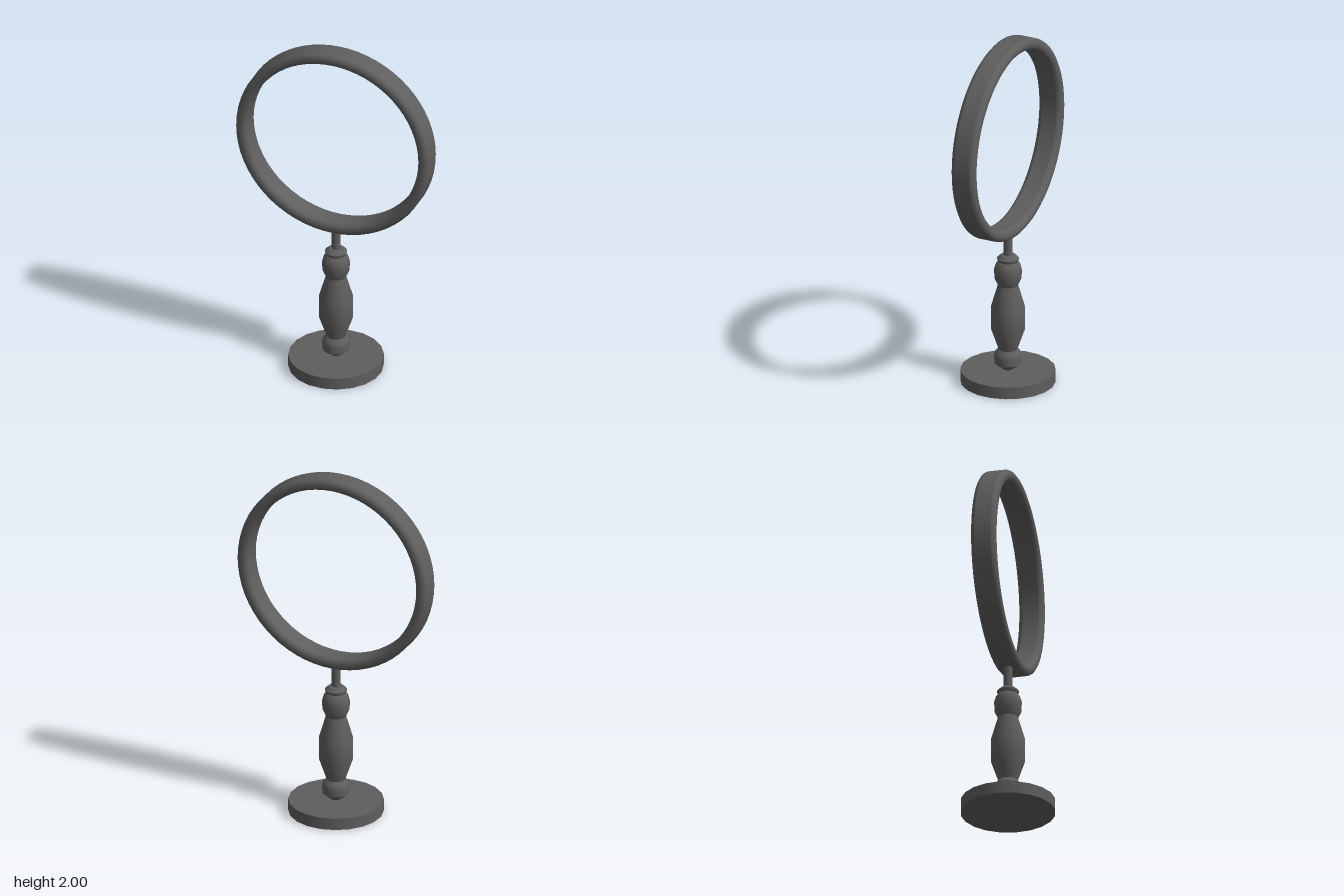
import * as THREE from 'three';
import { mergeGeometries } from 'three/addons/utils/BufferGeometryUtils.js';

// Revolve several profile strips, keeping a sharp edge where strips meet.
function revolve(strips, segments, phase = 0) {
  return mergeGeometries(strips.map(strip =>
    new THREE.LatheGeometry(strip.map(([r, y]) => new THREE.Vector2(r, y)), segments, phase)));
}

export function createModel() {
  const model = new THREE.Group();
  const darkMetal = new THREE.MeshStandardMaterial({ color: 0x5e5e5e });
  darkMetal.name = 'darkMetal';

  const add = (name, geometry) => {
    const mesh = new THREE.Mesh(geometry, darkMetal);
    mesh.name = name;
    model.add(mesh);
    return mesh;
  };

  // Round foot with twenty sides
  add('base', revolve([
    [[0, 0.002], [0.26, 0.002]],
    [[0.26, 0.002], [0.26, 0.07]],
    [[0.26, 0.07], [0, 0.07]],
  ], 20, 0.04));

  // Thin rod running from the foot up to the ring
  const rod = add('rod', new THREE.CylinderGeometry(0.024, 0.024, 0.89, 16));
  rod.position.y = 0.445;

  // Turned handle: lower bead, long belly, upper bead and collar
  add('handle', revolve([
    [[0.015, 0.065], [0.074, 0.11]],
    [[0.074, 0.11], [0.076, 0.15], [0.07, 0.172], [0.052, 0.192]],
    [[0.052, 0.192], [0.093, 0.31], [0.093, 0.44], [0.055, 0.57]],
    [[0.055, 0.57], [0.074, 0.61], [0.076, 0.66], [0.068, 0.69], [0.052, 0.71]],
    [[0.052, 0.71], [0.058, 0.714], [0.06, 0.728]],
    [[0.06, 0.728], [0.04, 0.747]],
    [[0.04, 0.747], [0, 0.749]],
  ], 20, 0.04));

  // Large hoop with flat inner and outer bands and rounded rims
  const inner = 0.5, outer = 0.565, half = 0.045;
  const rim = (start) => Array.from({ length: 7 }, (_, i) => {
    const a = start + Math.PI * i / 6;
    return [(inner + outer) / 2 + (outer - inner) / 2 * Math.cos(a),
      Math.sign(Math.PI / 2 - start) * half + 0.026 * Math.sin(a)];
  });
  const hoop = revolve([
    [[outer, -half], [outer, half]],
    rim(0),
    [[inner, half], [inner, -half]],
    rim(Math.PI),
  ], 64);
  hoop.rotateX(Math.PI / 2);
  const ring = add('ring', hoop);
  ring.position.y = 1.435;
  ring.rotation.y = -THREE.MathUtils.degToRad(39);

  return model;
}
